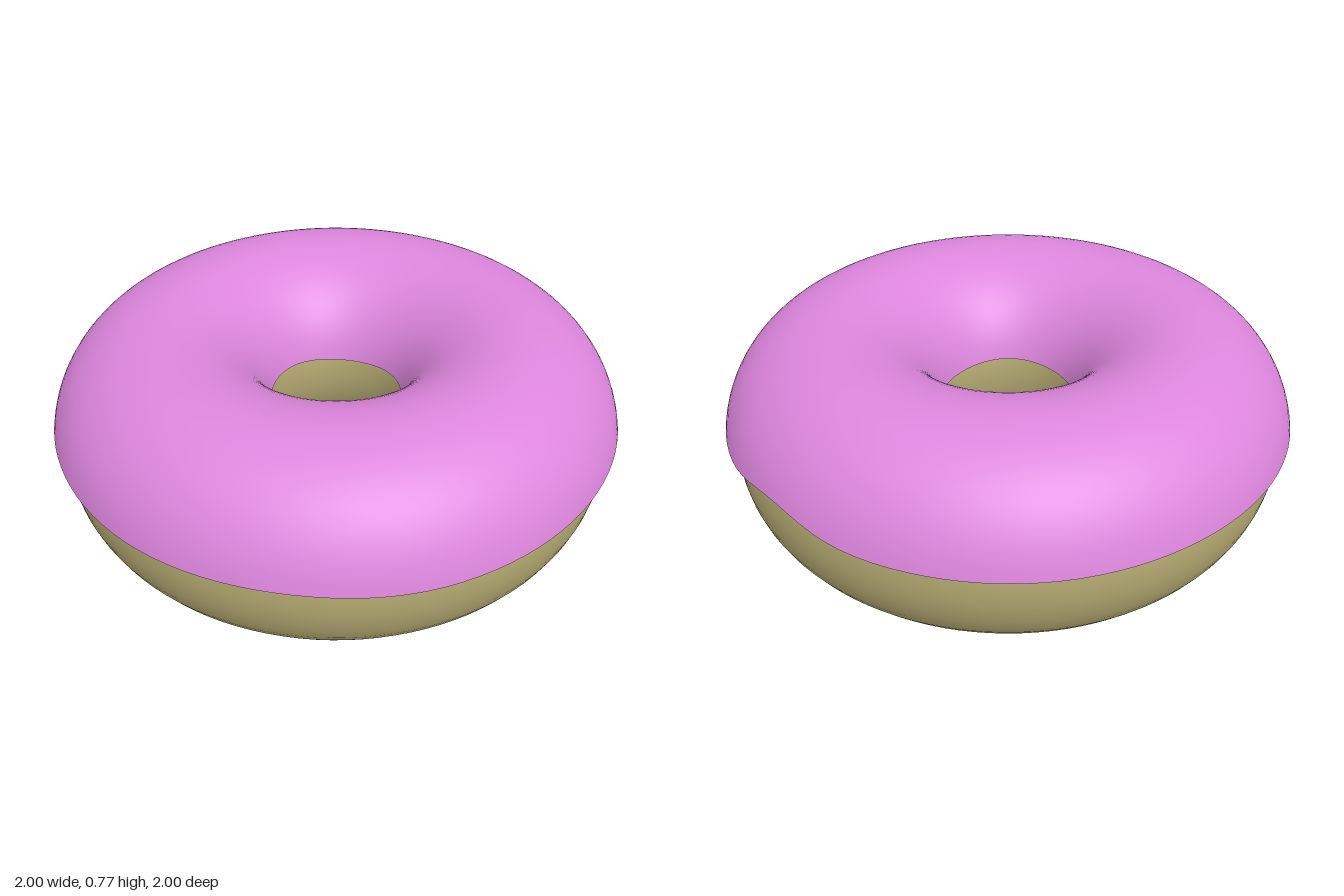
import * as THREE from 'three';
import { mergeVertices } from 'three/addons/utils/BufferGeometryUtils.js';

// Ring cross-sections: centre radius, centre height, half width, half height
const DOUGH = { R: 0.61, y: 0.372, rx: 0.36, ry: 0.37 };
const ICING = { R: 0.6175, y: 0.375, rx: 0.39, ry: 0.395 };

// Bends a plane into a ring; profile(phi, v) returns [radius, height]
function ringSurface(rows, profile) {
  const geo = new THREE.PlaneGeometry(1, 1, 112, rows);
  const { position, uv } = geo.attributes;
  for (let i = 0; i < position.count; i++) {
    const phi = (uv.getX(i) % 1) * Math.PI * 2;
    const [r, y] = profile(phi, uv.getY(i));
    position.setXYZ(i, r * Math.sin(phi), y, r * Math.cos(phi));
  }
  geo.deleteAttribute('uv');
  geo.deleteAttribute('normal');
  const welded = mergeVertices(geo, 1e-5);
  welded.computeVertexNormals();
  return welded;
}

const section = (s, a) => [s.R + s.rx * Math.cos(a), s.y + s.ry * Math.sin(a)];
const bump = (phi, at, width) => Math.exp(-(((phi - at) / width) ** 2));

// Wavy height of the icing's outer edge, with one raised spot and one low drip
const outerEdge = (phi) =>
  0.447 + 0.003 * Math.sin(5 * phi) + 0.042 * bump(phi, 2.55, 0.22) - 0.01 * bump(phi, 0.62, 0.3);
const innerEdge = (phi) => 0.45 + 0.006 * Math.sin(3 * phi + 1);
const edgeAngle = (y) => Math.asin((y - ICING.y) / ICING.ry);

export function createModel() {
  const model = new THREE.Group();
  const doughMaterial = new THREE.MeshStandardMaterial({ color: 0xb3a871 });
  const icingMaterial = new THREE.MeshStandardMaterial({ color: 0xdd86dd });

  const add = (name, geometry, material, parent = model) => {
    const mesh = new THREE.Mesh(geometry, material);
    mesh.name = name;
    parent.add(mesh);
  };

  // Full dough ring
  add('dough', ringSurface(48, (phi, v) => section(DOUGH, (v % 1) * Math.PI * 2)), doughMaterial);

  // Icing shell over the top half
  const icing = new THREE.Group();
  icing.name = 'icing';
  model.add(icing);
  add('icingTop', ringSurface(32, (phi, v) => {
    const start = edgeAngle(outerEdge(phi));
    const end = Math.PI - edgeAngle(innerEdge(phi));
    return section(ICING, start + (end - start) * v);
  }), icingMaterial, icing);

  // Undersides of the icing rims, reaching in to the dough
  add('icingOuterRim', ringSurface(1, (phi, v) => {
    const [r, y] = section(ICING, edgeAngle(outerEdge(phi)));
    return [r - 0.06 * (1 - v), y];
  }), icingMaterial, icing);
  add('icingInnerRim', ringSurface(1, (phi, v) => {
    const [r, y] = section(ICING, Math.PI - edgeAngle(innerEdge(phi)));
    return [r + 0.05 * v, y];
  }), icingMaterial, icing);

  return model;
}
